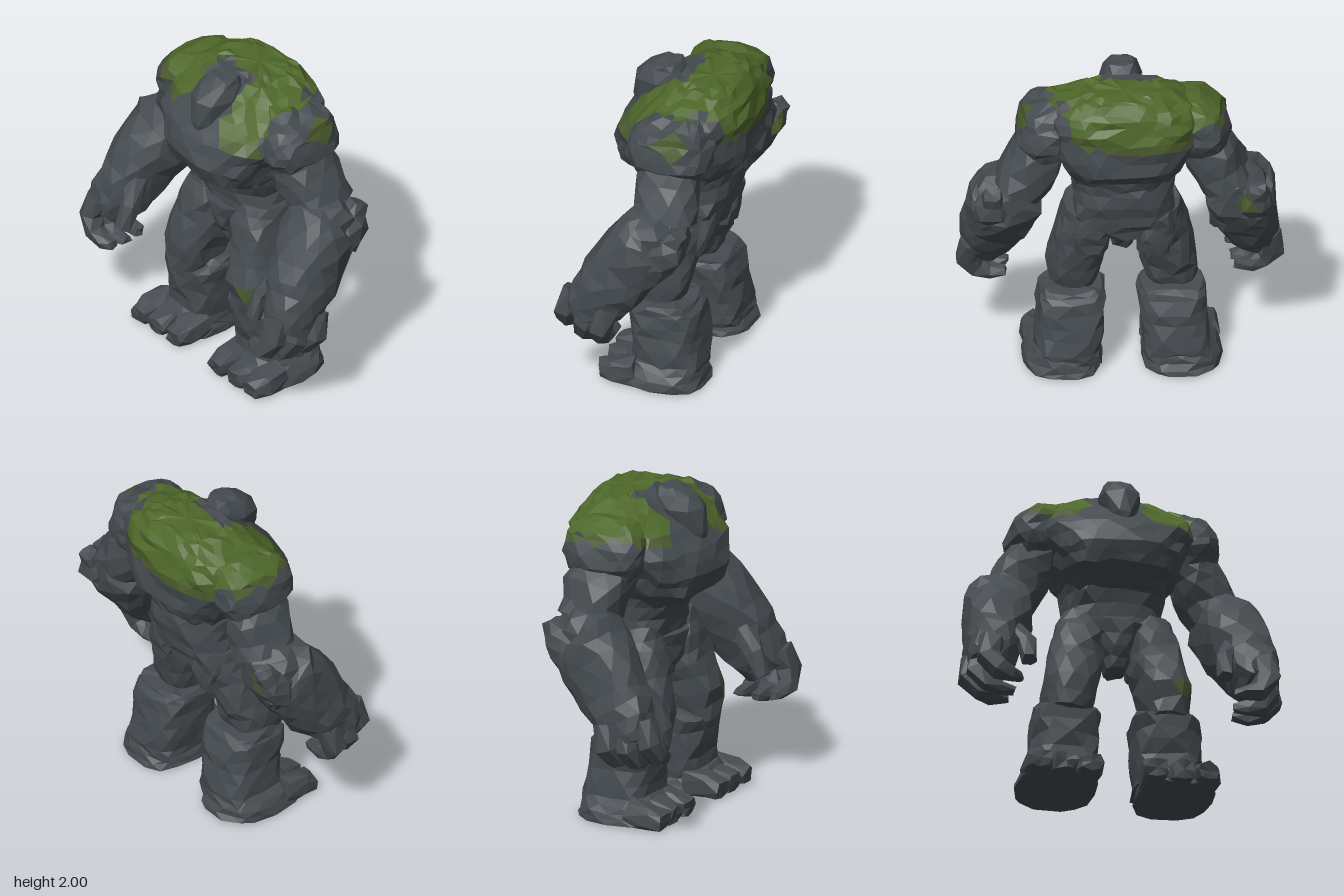
import * as THREE from 'three';

const slate = new THREE.MeshStandardMaterial({ color: 0x454b50, flatShading: true });
slate.name = 'slate';
const mossEdge = new THREE.MeshStandardMaterial({ color: 0x4a5a2d, flatShading: true });
mossEdge.name = 'thin moss';
const moss = new THREE.MeshStandardMaterial({ color: 0x4e672a, flatShading: true });
moss.name = 'moss';

// Seeded noise so the stone is the same every time
let seed = 7;
const rand = () => {
  seed = (seed * 16807) % 2147483647;
  return seed / 2147483647;
};
const jit = (r) => (rand() * 2 - 1) * r;

// Small stray patches: left knee, right elbow and the side of the left shoulder
const spots = [
  [new THREE.Vector3(0.36, 0.66, 0.2), 0.055],
  [new THREE.Vector3(-0.74, 1.2, -0.28), 0.07],
  [new THREE.Vector3(0.59, 1.77, -0.17), 0.09],
];

// Moss on the back and shoulders, thinning downward: 0 bare, 1 thin, 2 thick
function mossLevel(c, normal) {
  if (spots.some(([p, r]) => p.distanceTo(c) < r)) return 1;
  if (c.y < 1.58 || c.x > 0.42 || (c.x > 0.34 && c.z < -0.22)) return 0;
  if (c.z > -0.1 && c.x > -0.19 && c.x < 0.12) return 0;
  if (c.x < -0.42 && normal.y < 0.3) return 0;
  const line = c.z < 0 ? 1.66 + Math.max(0, c.x) * 0.2 : c.x < 0 ? 1.72 : 1.66;
  const depth = c.y - line - Math.max(0, -c.x - 0.45) * 0.6 + jit(0.02);
  return depth > 0.05 ? 2 : depth > 0 ? 1 : 0;
}

// Stone body lofted through rings [x, y, z, halfWidth, halfDepth]; level rings run upward
function rock(name, rings, { sides = 10, sub = 2, rough = 0.014, level = false, power = 0.75 } = {}) {
  const rows = [];
  for (let i = 0; i < rings.length - 1; i++)
    for (let k = 0; k < sub; k++) rows.push(rings[i].map((v, n) => v + (rings[i + 1][n] - v) * k / sub));
  rows.push(rings[rings.length - 1]);

  const last = rows.length - 1;
  const centre = rows.map((r) => new THREE.Vector3(r[0], r[1], r[2]));
  const pts = rows.map((r, i) => {
    const t = level ? new THREE.Vector3(0, 1, 0)
      : centre[Math.min(i + 1, last)].clone().sub(centre[Math.max(i - 1, 0)]).normalize();
    const u = new THREE.Vector3(1, 0, 0);
    // Where a finger runs inward its width turns to follow the bend
    if (Math.abs(t.x) > 0.85) u.set(0, -Math.sign(t.x) * Math.sign(rings[0][0]), 0).multiplyScalar(-Math.sign(rings[0][0]));
    u.addScaledVector(t, -u.dot(t)).normalize();
    const v = u.clone().cross(t);
    return Array.from({ length: sides }, (_, j) => {
      const a = (j + (i % 2) * 0.5) / sides * Math.PI * 2;
      const round = (n) => Math.sign(n) * Math.abs(n) ** power;
      const chip = 1 + (rand() < 0.14 ? jit(rough * 4) : 0);
      const p = centre[i].clone()
        .addScaledVector(u, round(Math.cos(a)) * r[3] * chip)
        .addScaledVector(v, round(Math.sin(a)) * r[4] * chip);
      p.x += jit(rough); p.y += jit(rough); p.z += jit(rough);
      p.y = Math.min(2, Math.max(0, p.y));
      return p;
    });
  });

  // Sort the faces by how much moss they carry
  const lists = [[], [], []];
  const tri = new THREE.Triangle();
  const mid = new THREE.Vector3(), normal = new THREE.Vector3();
  const face = (a, b, c) => {
    tri.set(a, b, c);
    const amount = mossLevel(tri.getMidpoint(mid), tri.getNormal(normal));
    lists[amount].push(...a.toArray(), ...b.toArray(), ...c.toArray());
  };
  for (let j = 0; j < sides; j++) {
    const n = (j + 1) % sides;
    for (let i = 0; i < last; i++) {
      const a = pts[i][j], b = pts[i + 1][j], c = pts[i][n], d = pts[i + 1][n];
      if (i % 2 === 0) { face(a, b, c); face(b, d, c); }
      else { face(a, b, d); face(a, d, c); }
    }
    face(centre[0], pts[0][j], pts[0][n]);
    face(centre[last], pts[last][n], pts[last][j]);
  }
  const geo = new THREE.BufferGeometry();
  geo.setAttribute('position', new THREE.Float32BufferAttribute(lists.flat(), 3));
  let start = 0;
  lists.forEach((l, m) => {
    if (l.length) geo.addGroup(start, l.length / 3, m);
    start += l.length / 3;
  });
  geo.computeVertexNormals();
  const mesh = new THREE.Mesh(geo, [slate, mossEdge, moss]);
  mesh.name = name;
  return mesh;
}

export function createModel() {
  const golem = new THREE.Group();
  golem.name = 'stoneGolem';

  // Trunk
  golem.add(rock('chest', [
    [0, 1.29, -0.06, 0.27, 0.26], [0, 1.39, -0.02, 0.35, 0.35], [0, 1.5, -0.045, 0.4, 0.42],
    [0, 1.65, -0.07, 0.47, 0.4], [0, 1.77, -0.12, 0.48, 0.335], [0, 1.87, -0.17, 0.41, 0.26],
    [0, 1.94, -0.19, 0.27, 0.19], [0, 1.96, -0.2, 0.17, 0.12],
  ], { sides: 26, level: true, power: 0.7 }));
  golem.add(rock('abdomen', [
    [0, 0.95, -0.09, 0.24, 0.18], [0, 1.06, -0.11, 0.32, 0.21], [0, 1.2, -0.12, 0.29, 0.235], [0, 1.36, -0.08, 0.32, 0.27],
  ], { sides: 16, level: true }));
  golem.add(rock('groin', [
    [0, 0.81, -0.02, 0.07, 0.1], [0, 0.93, -0.04, 0.09, 0.18], [0, 1.08, -0.05, 0.18, 0.21],
  ], { level: true, rough: 0.012 }));

  // Faceless wedge head sunk between the shoulders
  golem.add(rock('head', [
    [0, 1.65, 0.24, 0.035, 0.05], [0, 1.73, 0.2, 0.08, 0.11], [0, 1.88, 0.13, 0.13, 0.16],
    [0, 1.95, 0.1, 0.105, 0.125], [0, 1.995, 0.08, 0.085, 0.06],
  ], { sides: 8, level: true, rough: 0.008, sub: 1 }));

  for (const s of [1, -1]) {
    const side = s > 0 ? 'left' : 'right';
    const part = (name, rings, opt) => rock(side + name, rings.map(([x, ...r]) => [x * s, ...r]), opt);

    // Arm
    const arm = new THREE.Group();
    arm.name = side + 'Arm';
    arm.add(part('Shoulder', [
      [0.46, 1.52, -0.11, 0.14, 0.19], [0.475, 1.62, -0.11, 0.17, 0.26], [0.465, 1.74, -0.11, 0.16, 0.26],
      [0.44, 1.82, -0.12, 0.15, 0.21], [0.36, 1.88, -0.13, 0.1, 0.13],
    ], { sides: 14, level: true }));
    arm.add(part('UpperArm', [
      [0.45, 1.6, -0.1, 0.15, 0.19], [0.54, 1.45, -0.13, 0.165, 0.2], [0.63, 1.27, -0.15, 0.16, 0.19],
    ]));
    arm.add(part('Forearm', [
      [0.76, 1.31, -0.23, 0.11, 0.09], [0.69, 1.22, -0.13, 0.21, 0.22], [0.725, 1.06, 0, 0.205, 0.23],
      [0.77, 0.88, 0.12, 0.18, 0.21], [0.81, 0.74, 0.22, 0.15, 0.18], [0.83, 0.63, 0.28, 0.11, 0.13],
    ], { sides: 12 }));
    arm.add(part('ElbowSpur', [[0.78, 1.07, -0.14, 0.11, 0.11], [0.78, 1.2, -0.24, 0.1, 0.11], [0.79, 1.31, -0.3, 0.05, 0.05]],
      { sides: 7 }));
    // Fingers curl inward, the front one shorter and set closer to the body
    [[0.03, 0, 0.15], [0, 0, 0.27], [-0.04, 0.04, 0.4]].forEach(([x, y, z], i) => {
      arm.add(part('Finger' + (i + 1), [
        [0.86 + x, 0.74 + y, z - 0.04, 0.075, 0.07], [0.89 + x, 0.61 + y, z, 0.07, 0.07],
        [0.83 + x, 0.52 + y, z + 0.02, 0.06, 0.06], [0.75 + x, 0.5 + y, z + 0.01, 0.04, 0.05],
        [0.67 + x / 2, 0.5 + y, z, 0.03, 0.035],
      ], { sides: 6, sub: 1, rough: 0.01 }));
    });
    arm.add(part('Thumb', [
      [0.66, 0.92, 0.2, 0.07, 0.07], [0.6, 0.8, 0.3, 0.05, 0.06], [0.6, 0.66, 0.36, 0.045, 0.045],
    ], { sides: 6, sub: 1, rough: 0.01 }));
    golem.add(arm);

    // Leg
    const leg = new THREE.Group();
    leg.name = side + 'Leg';
    leg.add(part('Thigh', [
      [0.2, 1.12, -0.08, 0.14, 0.17], [0.22, 0.98, -0.05, 0.155, 0.2], [0.255, 0.82, -0.01, 0.165, 0.2],
      [0.29, 0.64, 0.04, 0.16, 0.2], [0.31, 0.46, 0.06, 0.13, 0.16],
    ], { sides: 12 }));
    leg.add(part('Buttock', [[0.18, 0.83, -0.19, 0.09, 0.07], [0.19, 0.97, -0.18, 0.12, 0.11], [0.18, 1.12, -0.2, 0.1, 0.11]]));
    leg.add(part('Shin', [
      [0.33, 0.06, -0.06, 0.21, 0.22], [0.32, 0.15, -0.07, 0.205, 0.22], [0.31, 0.32, -0.055, 0.205, 0.22],
      [0.3, 0.48, -0.03, 0.205, 0.21], [0.3, 0.54, -0.06, 0.19, 0.14],
    ], { sides: 12, power: 0.6, level: true }));
    leg.add(part('Foot', [
      [0.36, 0, -0.03, 0.24, 0.28], [0.36, 0.07, -0.03, 0.23, 0.27], [0.34, 0.16, -0.05, 0.19, 0.22],
    ], { sides: 14, level: true }));
    [0.2, 0.36, 0.51].forEach((x, i) => leg.add(part('Toe' + (i + 1), [
      [x, 0.08, 0.08, 0.085, 0.09], [x, 0.07, 0.22, 0.085, 0.075], [x, 0.055, 0.31, 0.065, 0.055],
    ], { sides: 8, sub: 1, rough: 0.012, power: 0.6 })));
    golem.add(leg);
  }
  return golem;
}
